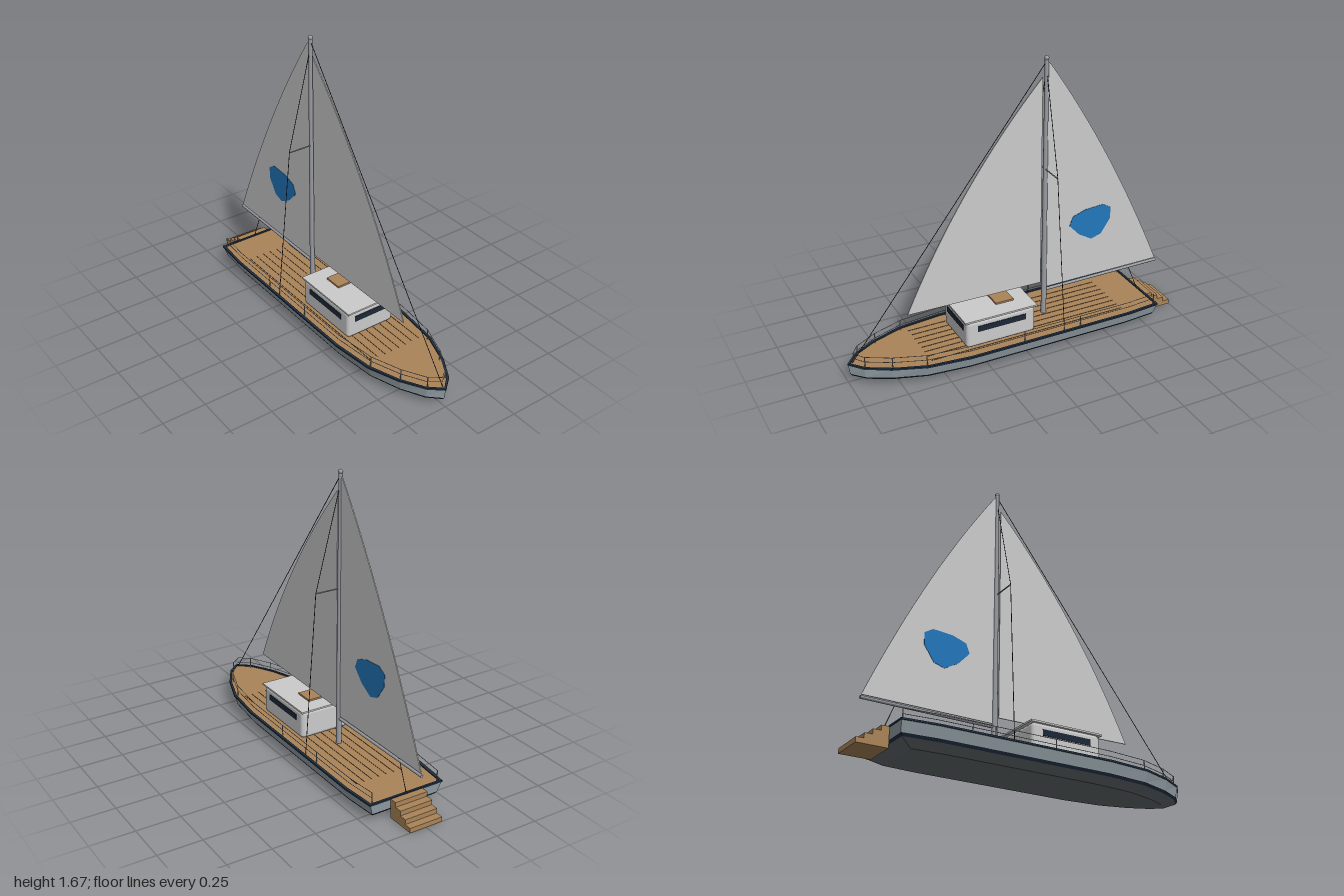
import * as THREE from 'three';
import { RoundedBoxGeometry } from 'three/addons/geometries/RoundedBoxGeometry.js';

const mat = (color, extra = {}) => new THREE.MeshStandardMaterial({ color, ...extra });
const grey = mat(0xcccccc);
const wood = mat(0xaa8459);
const plankDark = mat(0x5e4830);
const navy = mat(0x1f2f42, { flatShading: true });
const glass = mat(0x1c2836);
const metal = mat(0x9a9da3);
const wire = mat(0x2b2d30);
const topside = mat(0x98a4aa, { flatShading: true });
const underside = mat(0x666c70, { flatShading: true });
const blue = mat(0x2277bb);

// Half outline of the deck, stern to bow, as [x, z]
const HALF = [[-0.83, 0.225], [-0.63, 0.242], [0.37, 0.242], [0.62, 0.215], [0.8, 0.15], [0.93, 0.075]];
const OUTLINE = [...HALF, [0.995, 0], ...HALF.slice().reverse().map(([x, z]) => [x, -z])];
const DECK = 0.11;

const V = (x, y, z) => new THREE.Vector3(x, y, z);

// Half-width of the deck at a given x
function halfWidth(x) {
  const pts = [...HALF, [0.995, 0]];
  for (let i = 0; i < pts.length - 1; i++) {
    const [x0, z0] = pts[i], [x1, z1] = pts[i + 1];
    if (x <= x1) return z0 + (z1 - z0) * (x - x0) / (x1 - x0);
  }
  return 0;
}

// Deck outline moved to a hull level: new x range and width factor
function ring(y, x0, x1, w) {
  return OUTLINE.map(([x, z]) => V(x0 + (x + 0.83) / 1.825 * (x1 - x0), y, z * w));
}

// Hull strake between two rings, optionally closed below
function strake(low, high, closed) {
  const pos = [];
  const tri = (...p) => p.forEach(v => pos.push(v.x, v.y, v.z));
  const centre = V(0, low[0].y, 0);
  low.forEach((a, i) => {
    const j = (i + 1) % low.length;
    tri(a, low[j], high[j]);
    tri(a, high[j], high[i]);
    if (closed) tri(centre, low[j], a);
  });
  const g = new THREE.BufferGeometry();
  g.setAttribute('position', new THREE.Float32BufferAttribute(pos, 3));
  g.computeVertexNormals();
  return g;
}

// Flat plate lying level, from an [x, z] outline
function plate(points, depth, hole) {
  const toV2 = p => p.map(([x, z]) => new THREE.Vector2(x, -z));
  const s = new THREE.Shape(toV2(points));
  if (hole) s.holes.push(new THREE.Path(toV2(hole)));
  return new THREE.ExtrudeGeometry(s, { depth, bevelEnabled: false }).rotateX(-Math.PI / 2);
}

// Upright sheet centred on z = 0
function sheet(shape, depth) {
  return new THREE.ExtrudeGeometry(shape, { depth, bevelEnabled: false, curveSegments: 16 }).translate(0, 0, -depth / 2);
}

export function createModel() {
  const model = new THREE.Group();
  const add = (name, geo, material, parent = model) => {
    const m = new THREE.Mesh(geo, material);
    m.name = name;
    parent.add(m);
    return m;
  };
  const group = name => {
    const g = new THREE.Group();
    g.name = name;
    model.add(g);
    return g;
  };
  const box = (name, size, at, material, parent) =>
    add(name, new THREE.BoxGeometry(...size), material, parent).position.set(...at);
  const rod = (name, a, b, r0, r1, material, parent, sides = 6) => {
    const m = add(name, new THREE.CylinderGeometry(r1, r0, a.distanceTo(b), sides), material, parent);
    m.position.copy(a).lerp(b, 0.5);
    m.quaternion.setFromUnitVectors(V(0, 1, 0), b.clone().sub(a).normalize());
  };

  // Hull in three bands
  const hull = group('hull');
  const r0 = ring(0, -0.74, 0.89, 0.67), r1 = ring(0.035, -0.81, 0.975, 0.88);
  const r2 = ring(0.05, -0.82, 0.987, 0.92), r3 = ring(DECK, -0.83, 0.995, 1);
  add('hullBottom', strake(r0, r1, true), underside, hull);
  add('waterlineStripe', strake(r1, r2), navy, hull);
  add('hullTopsides', strake(r2, r3), topside, hull);

  // Deck, its edge and plank seams
  const deck = group('deck');
  add('deckBoards', plate(OUTLINE, 0.004), wood, deck).position.y = DECK - 0.004;
  const inner = OUTLINE.map(([x, z]) => [x * 0.988, z * 0.955]);
  const outer = OUTLINE.map(([x, z]) => [x * 1.003, z * 1.015]);
  add('toeRail', plate(outer, 0.01, inner), navy, deck).position.y = DECK - 0.004;
  for (let i = 0; i < 8; i++)
    box('plankSeam', [1.2, 0.002, 0.003], [-0.02, DECK + 0.001, (i - 3.5) * 0.047], plankDark, deck);

  // Boarding steps at the stern
  const steps = group('sternSteps');
  for (let i = 0; i < 4; i++) {
    const h = 0.0275 * (i + 1);
    box('step', [0.0425, h, 0.2], [-0.979 + i * 0.0425, h / 2, 0], wood, steps);
  }

  // Cabin with roof, hatch and windows
  const cabin = group('cabin');
  add('cabinBody', new RoundedBoxGeometry(0.42, 0.165, 0.31, 2, 0.022), grey, cabin).position.set(0.15, 0.192, 0);
  box('cabinRoof', [0.44, 0.01, 0.32], [0.15, 0.277, 0], grey, cabin);
  box('roofHatch', [0.11, 0.012, 0.115], [0.082, 0.286, 0], wood, cabin);
  for (const s of [1, -1])
    box('sideWindow', [0.295, 0.035, 0.006], [0.148, 0.223, s * 0.155], glass, cabin);
  box('frontWindow', [0.006, 0.035, 0.22], [0.36, 0.226, 0], glass, cabin);

  // Mast, spreaders and boom
  const MX = -0.195;
  const spars = group('spars');
  rod('mast', V(MX, DECK, 0), V(MX, 1.65, 0), 0.016, 0.011, metal, spars, 12);
  add('mastBall', new THREE.SphereGeometry(0.013, 12, 8), metal, spars).position.set(MX, 1.658, 0);
  rod('boom', V(-0.95, 0.27, 0), V(MX, 0.262, 0), 0.009, 0.009, metal, spars, 10);
  rod('spreader', V(MX + 0.003, 1.025, -0.147), V(MX + 0.003, 1.025, 0.147), 0.004, 0.004, metal, spars);

  // Standing rigging
  const rigging = group('rigging');
  const stay = (name, a, b) => rod(name, a, b, 0.002, 0.002, wire, rigging, 5);
  stay('forestay', V(MX, 1.64, 0), V(0.97, 0.115, 0));
  stay('backstay', V(MX, 1.64, 0), V(-0.825, 0.115, 0));
  for (const s of [1, -1]) {
    stay('upperShroud', V(MX, 1.6, 0), V(MX + 0.003, 1.025, s * 0.147));
    stay('lowerShroud', V(MX + 0.003, 1.025, s * 0.147), V(-0.21, DECK, s * 0.225));
  }

  // Sails with bowed outer edges, and a coloured patch on the mainsail
  const sails = group('sails');
  const main = new THREE.Shape();
  main.moveTo(-0.205, 0.278);
  main.lineTo(-0.205, 1.635);
  main.lineTo(-0.217, 1.625);
  main.quadraticCurveTo(-0.61, 1.06, -0.945, 0.284);
  main.closePath();
  add('mainsail', sheet(main, 0.006), grey, sails);
  const jib = new THREE.Shape();
  jib.moveTo(-0.172, 0.316);
  jib.lineTo(0.642, 0.325);
  jib.quadraticCurveTo(0.325, 1.02, -0.172, 1.555);
  jib.closePath();
  add('jib', sheet(jib, 0.006), grey, sails);
  const patch = [[-0.62, 0.695], [-0.57, 0.725], [-0.455, 0.717], [-0.375, 0.69], [-0.353, 0.636],
    [-0.417, 0.567], [-0.497, 0.521], [-0.56, 0.54], [-0.618, 0.626]];
  add('sailPatch', sheet(new THREE.Shape(patch.map(p => new THREE.Vector2(...p))), 0.01), blue, sails);

  // Guard rails: posts on both sides, two lines meeting at the bow
  const rails = group('guardRails');
  const posts = [-0.815, -0.63, -0.315, 0.04, 0.37, 0.615, 0.79, 0.92];
  for (const s of [1, -1]) {
    const at = (x, y) => V(x, y, s * Math.max(halfWidth(x) - 0.02, 0));
    posts.forEach((x, i) => {
      if (i !== 1 && i !== 4) rod('railPost', at(x, DECK), at(x, 0.173), 0.003, 0.003, metal, rails);
      for (const y of [0.143, 0.172])
        rod('railLine', at(x, y), i < posts.length - 1 ? at(posts[i + 1], y) : V(0.965, y, 0), 0.0018, 0.0018, metal, rails, 5);
    });
  }
  return model;
}
